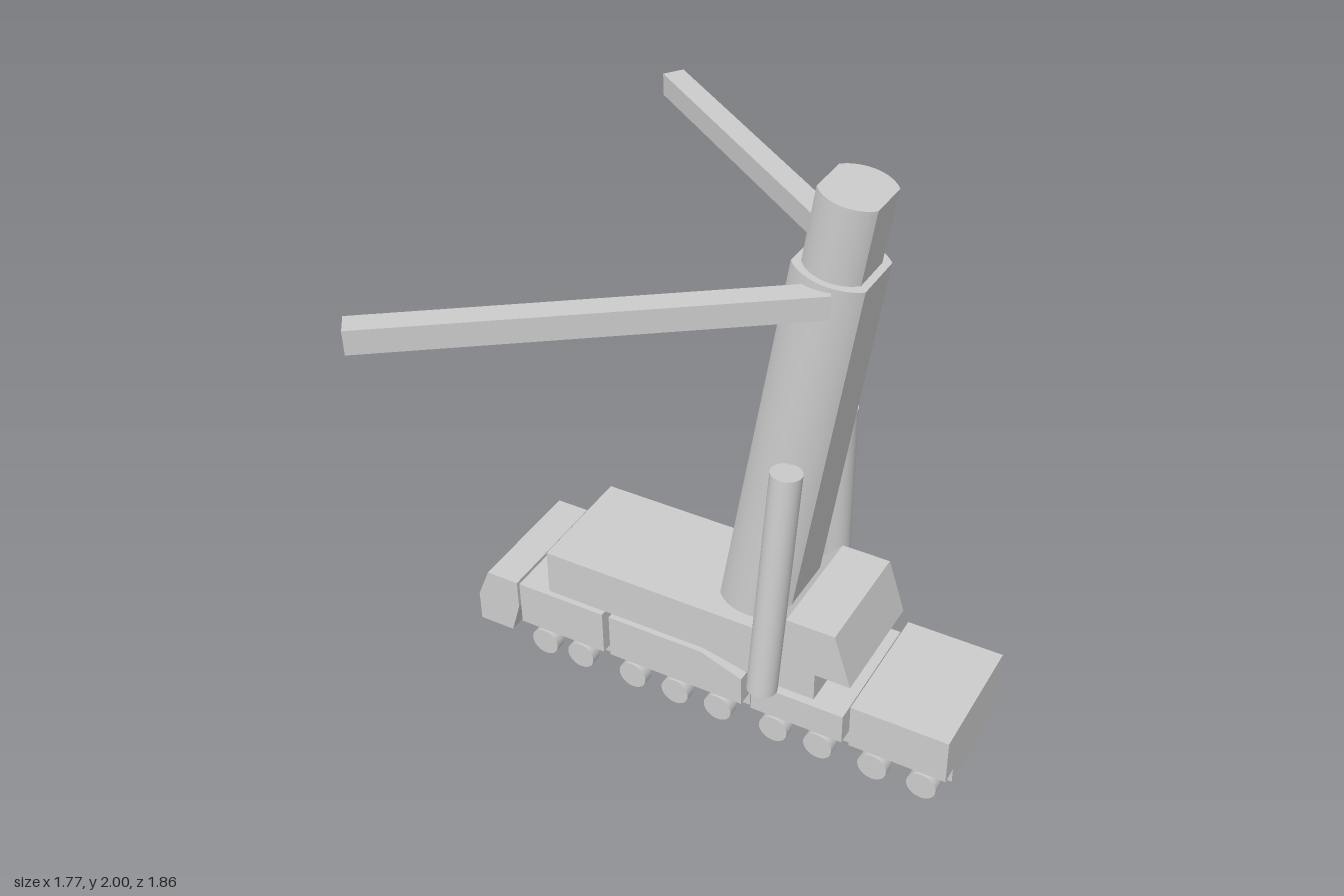
import * as THREE from 'three';
import { toCreasedNormals } from 'three/addons/utils/BufferGeometryUtils.js';

const material = new THREE.MeshStandardMaterial({ color: 0xcccccc });

function add(parent, name, geometry) {
  const mesh = new THREE.Mesh(geometry, material);
  mesh.name = name;
  parent.add(mesh);
  return mesh;
}

// Side profile (x, y) extruded across the vehicle and centred on z = 0
function slab(points, width) {
  const shape = new THREE.Shape(points.map(([x, y]) => new THREE.Vector2(x, y)));
  const geometry = new THREE.ExtrudeGeometry(shape, { depth: width, bevelEnabled: false });
  return geometry.translate(0, 0, -width / 2);
}

// Tapering column: a circle with two flats on the x sides, standing on y = 0
function flatSidedColumn(radius, halfX, length, topScaleX = 1, topScaleZ = 1) {
  const a = Math.acos(halfX / radius);
  const shape = new THREE.Shape();
  shape.absarc(0, 0, radius, a, Math.PI - a, false);
  shape.absarc(0, 0, radius, Math.PI + a, 2 * Math.PI - a, false);
  const geometry = new THREE.ExtrudeGeometry(shape, { depth: length, bevelEnabled: false, curveSegments: 20 });
  const p = geometry.attributes.position;
  for (let i = 0; i < p.count; i++) {
    const t = p.getZ(i) / length;
    p.setX(i, p.getX(i) * (1 + (topScaleX - 1) * t));
    p.setY(i, p.getY(i) * (1 + (topScaleZ - 1) * t));
  }
  geometry.rotateX(-Math.PI / 2);
  return toCreasedNormals(geometry, 0.5);
}

// Place a y-aligned mesh between two points
function span(mesh, from, to) {
  mesh.position.copy(from).add(to).multiplyScalar(0.5);
  mesh.quaternion.setFromUnitVectors(new THREE.Vector3(0, 1, 0), to.clone().sub(from).normalize());
}

export function createModel() {
  const model = new THREE.Group();
  model.name = 'mobileCrane';
  const width = 0.455, floor = 0.052, sill = 0.11;

  // Driver's cab
  add(model, 'cab', slab([
    [-0.886, floor], [-0.755, floor], [-0.72, 0.17], [-0.72, 0.278], [-0.84, 0.278], [-0.886, 0.165],
  ], width));

  // Chassis sections: full-width body over a narrower underbody, with wheels at the sides
  const sections = [
    { top: [[-0.71, 0.278], [-0.378, 0.278]], wheels: [-0.62, -0.475] },
    { top: [[-0.352, 0.278], [0, 0.278], [0.152, 0.222]], wheels: [-0.267, -0.102, 0.062] },
    { top: [[0.188, 0.222], [0.518, 0.222]], wheels: [0.27, 0.433] },
    { top: [[0.543, 0.278], [0.88, 0.278]], wheels: [0.628, 0.8] },
  ];
  for (const { top, wheels } of sections) {
    const x0 = top[0][0], x1 = top[top.length - 1][0];
    add(model, 'chassisBody', slab([[x0, sill], [x1, sill], ...[...top].reverse()], width));
    add(model, 'underbody', new THREE.BoxGeometry(x1 - x0, sill - floor, 0.33))
      .position.set((x0 + x1) / 2, (sill + floor) / 2, 0);
    for (const x of wheels) for (const side of [-1, 1]) {
      const wheel = add(model, 'wheel', new THREE.CylinderGeometry(0.051, 0.051, 0.042, 24));
      wheel.rotation.x = Math.PI / 2;
      wheel.position.set(x, 0.051, side * 0.207);
    }
  }

  // Slewing deck with raised operator housing
  add(model, 'upperDeck', slab([
    [-0.6, 0.278], [0, 0.278], [0.2, 0.233], [0.405, 0.233], [0.405, 0.34], [0.53, 0.34],
    [0.47, 0.53], [0.3, 0.53], [0.21, 0.446], [-0.6, 0.446],
  ], 0.415));

  // Raised boom with its inner telescopic stage
  const boom = new THREE.Group();
  boom.name = 'boom';
  boom.position.set(0.11, 0.3, 0);
  boom.rotation.z = -0.163;
  model.add(boom);
  const boomLength = 1.457;
  add(boom, 'mainBoom', flatSidedColumn(0.163, 0.125, boomLength, 0.94, 0.86));
  add(boom, 'telescopicStage', flatSidedColumn(0.118, 0.094, 0.269)).position.y = boomLength - 0.02;

  // Lifting cylinders and outspread stay arms, mirrored left and right
  for (const side of [-1, 1]) {
    const foot = new THREE.Vector3(0.247, 0.262, side * 0.265);
    const head = new THREE.Vector3(0.283, 1.097, side * 0.193);
    span(add(model, 'liftCylinder', new THREE.CylinderGeometry(0.051, 0.051, foot.distanceTo(head), 32)), foot, head);

    const dx = 1.077, dz = 0.777;
    const arm = add(model, 'stayArm', new THREE.BoxGeometry(Math.hypot(dx, dz), 0.078, 0.076));
    arm.position.set(0.365 - dx / 2, 1.678, side * (0.12 + dz / 2));
    arm.rotation.y = side * Math.atan2(dz, dx);
  }
  return model;
}
